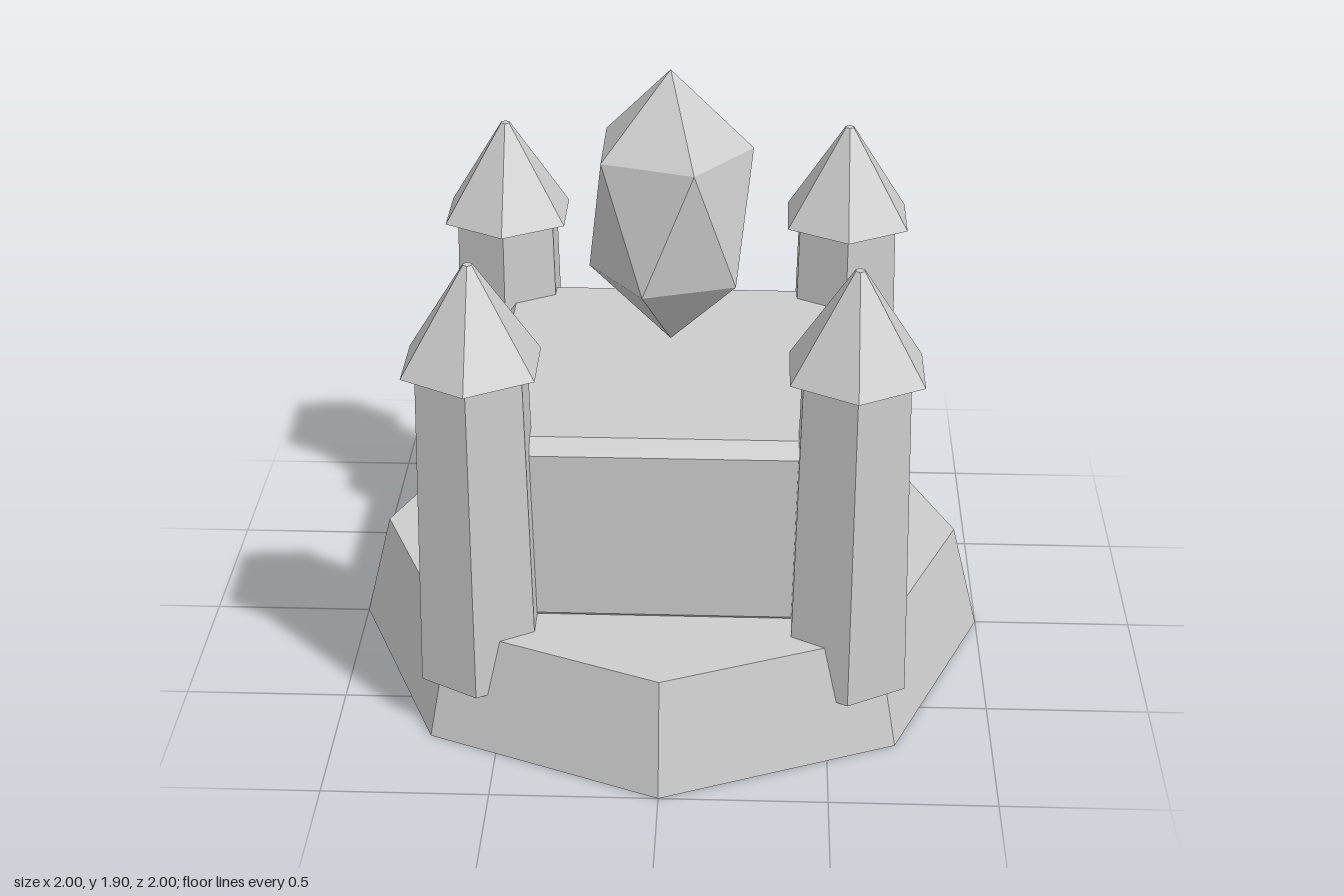
import * as THREE from 'three';

export function createModel() {
  const model = new THREE.Group();
  const stone = new THREE.MeshStandardMaterial({ color: 0xcccccc, flatShading: true });
  stone.name = 'pale stone';

  const add = (parent, name, geometry, x = 0, y = 0, z = 0) => {
    const mesh = new THREE.Mesh(geometry, stone);
    mesh.name = name;
    mesh.position.set(x, y, z);
    parent.add(mesh);
    return mesh;
  };

  // Tapered cylinder standing between two heights
  const frustum = (top, bottom, y0, y1, sides) =>
    new THREE.CylinderGeometry(top, bottom, y1 - y0, sides).translate(0, (y0 + y1) / 2, 0);

  // Octagonal plinth
  add(model, 'plinth', frustum(0.914, 1, 0, 0.35, 8));

  // Square keep with chamfered upper and lower edges
  const square = (top, bottom, y0, y1) =>
    frustum(top * Math.SQRT2, bottom * Math.SQRT2, y0, y1, 4).rotateY(Math.PI / 4);
  const keep = new THREE.Group();
  keep.name = 'keep';
  add(keep, 'keepFoot', square(0.562, 0.522, 0.315, 0.36));
  add(keep, 'keepWalls', square(0.562, 0.562, 0.36, 0.9));
  add(keep, 'keepTop', square(0.522, 0.562, 0.9, 0.945));
  model.add(keep);

  // Four hexagonal corner towers with pointed roofs
  for (const sx of [-1, 1]) {
    for (const sz of [-1, 1]) {
      const tower = new THREE.Group();
      tower.name = (sz > 0 ? 'front' : 'back') + (sx > 0 ? 'Left' : 'Right') + 'Tower';
      tower.position.set(sx * 0.557, 0, sz * 0.557);
      add(tower, 'shaft', frustum(0.178, 0.202, 0.175, 1.2, 6));
      add(tower, 'roof', frustum(0.015, 0.223, 1.2, 1.515, 6));
      model.add(tower);
    }
  }

  // Floating crystal: two opposed five-point rings between two tips
  const ring = (y, turn) => Array.from({ length: 5 }, (_, i) => {
    const a = turn + i * Math.PI * 0.4;
    return [0.25 * Math.cos(a), y, -0.25 * Math.sin(a)];
  });
  const upper = ring(1.66, 0);
  const lower = ring(1.265, Math.PI / 5);
  const tip = [0, 1.905, 0];
  const foot = [0, 1.02, 0];
  const corners = [];
  for (let i = 0; i < 5; i++) {
    const j = (i + 1) % 5;
    corners.push(
      tip, upper[i], upper[j],
      upper[i], lower[i], upper[j],
      lower[i], lower[j], upper[j],
      foot, lower[j], lower[i],
    );
  }
  const crystal = new THREE.BufferGeometry();
  crystal.setAttribute('position', new THREE.Float32BufferAttribute(corners.flat(), 3));
  crystal.computeVertexNormals();
  add(model, 'crystal', crystal);

  return model;
}
